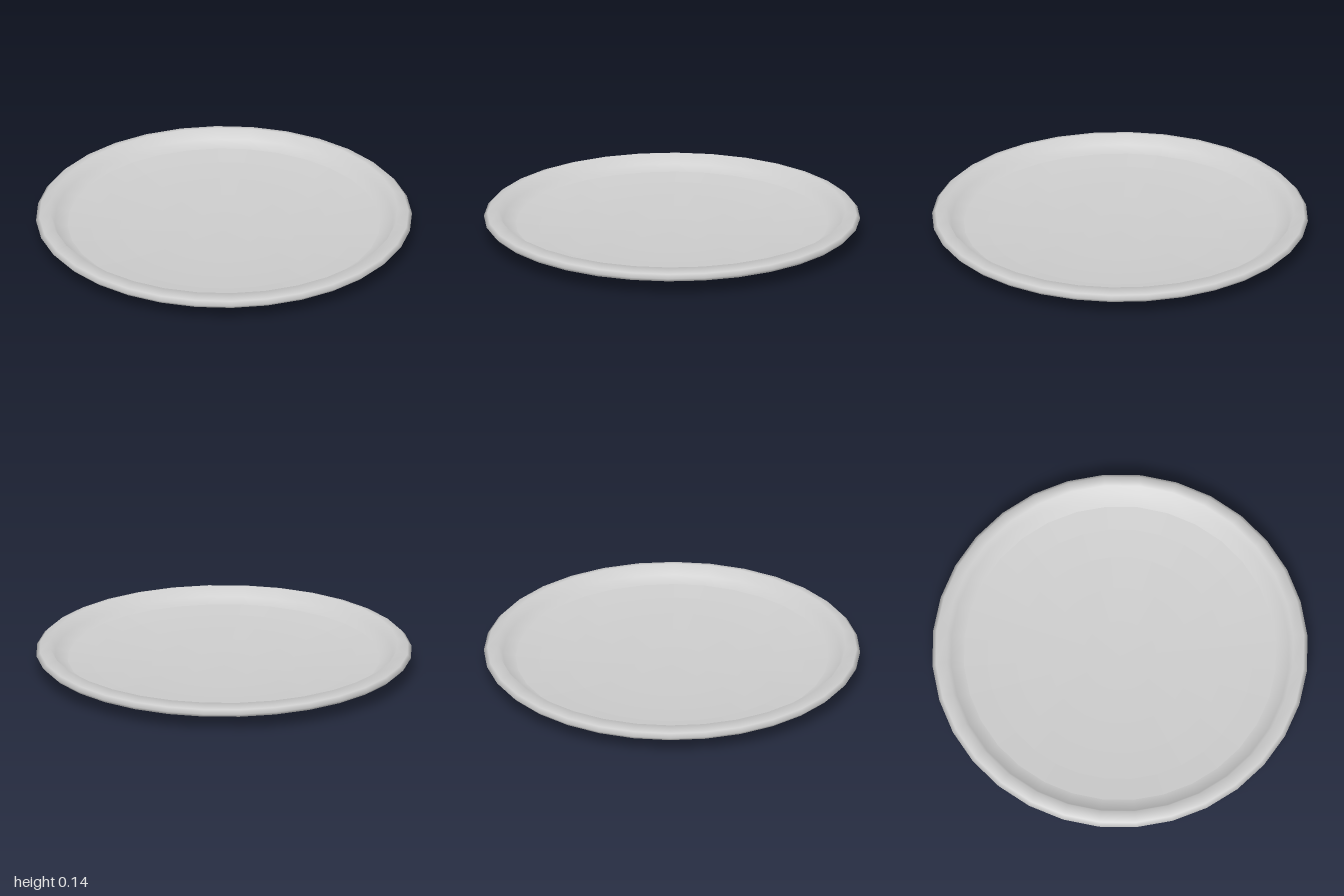
import * as THREE from 'three';

const halfHeight = 0.101;

// Point on the flattened sphere, n steps of 11.25 degrees up from its lowest point
function bowlPoint(n, lift = 0) {
  const a = (n * Math.PI) / 16;
  return [Math.sin(a), halfHeight * (1 - Math.cos(a)) + lift];
}

function turned(name, profile, flatShading) {
  const points = profile.map(([r, y]) => new THREE.Vector2(r, y));
  const material = new THREE.MeshStandardMaterial({ color: 0xcccccc, flatShading, side: THREE.DoubleSide });
  const mesh = new THREE.Mesh(new THREE.LatheGeometry(points, 32), material);
  mesh.name = name;
  return mesh;
}

export function createModel() {
  const group = new THREE.Group();
  group.name = 'plate';
  const thickness = 0.021;

  // Shallow faceted underside
  const underside = [0, 1, 2, 3, 4, 5, 6, 7].map((n) => bowlPoint(n));

  // Smooth rim: around the widest ring, over the lip and down the steep inner wall
  const floorEdge = bowlPoint(5, thickness);
  const rim = [...[7, 8, 9, 10].map((n) => bowlPoint(n)), [0.9, 0.085], floorEdge];

  // Hollow of the dish, running from the foot of the inner wall to the middle
  const floor = [5, 4, 3, 2, 1, 0].map((n) => bowlPoint(n, thickness));

  group.add(turned('underside', underside, true), turned('rim', rim, false), turned('floor', floor, true));
  return group;
}
